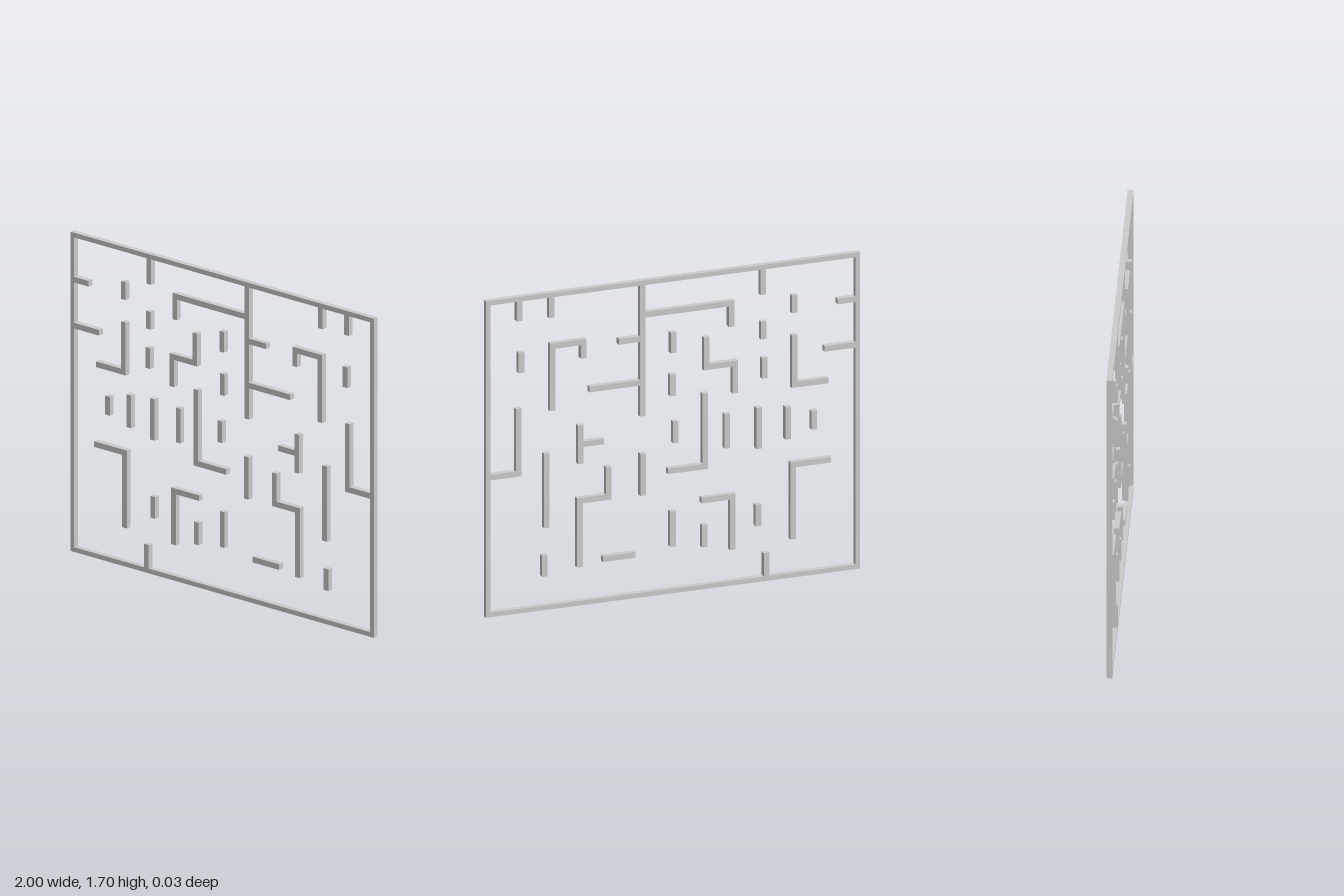
import * as THREE from 'three';

const T = 0.03;      // wall thickness
const DEPTH = 0.03;  // wall depth
const W = 2, H = 1.7, RIM = 0.025;

const material = new THREE.MeshStandardMaterial({ color: 0xcccccc, flatShading: true });

function extrude(shape, name) {
  const geometry = new THREE.ExtrudeGeometry(shape, { depth: DEPTH, bevelEnabled: false });
  geometry.translate(0, 0, -DEPTH / 2);
  const mesh = new THREE.Mesh(geometry, material);
  mesh.name = name;
  return mesh;
}

// A wall that follows a right-angled centre line, with mitred corners
function wall(path, name) {
  const p = path.map(([x, y]) => new THREE.Vector2(x, y));
  const normals = p.slice(1).map((b, i) => {
    const d = b.clone().sub(p[i]).normalize();
    return new THREE.Vector2(-d.y, d.x);
  });
  const offset = (side) => p.map((v, i) => {
    const n = new THREE.Vector2();
    if (i > 0) n.add(normals[i - 1]);
    if (i < normals.length) n.add(normals[i]);
    return v.clone().addScaledVector(n, side * T / 2);
  });
  return extrude(new THREE.Shape([...offset(-1), ...offset(1).reverse()]), name);
}

function rectangle(Type, x0, y0, x1, y1) {
  return new Type([[x0, y0], [x1, y0], [x1, y1], [x0, y1]].map(([x, y]) => new THREE.Vector2(x, y)));
}

// Straight upright pieces: x, bottom, top
const uprights = [
  [-0.755, 0.78, 0.88], [-0.615, 0.745, 0.92], [-0.46, 0.715, 0.935], [-0.29, 0.74, 0.925],
  [-0.015, 0.805, 0.92], [0.16, 0.545, 0.77], [0.675, 0.44, 0.84], [0.685, 0.18, 0.295],
  [-0.65, 1.42, 1.515], [-0.485, 1.3, 1.395], [-0.49, 1.09, 1.2], [-0.003, 1.29, 1.4],
  [0, 1.06, 1.175], [0.81, 1.29, 1.4], [-0.457, 0.3, 0.415], [-0.17, 0.225, 0.345],
  [0, 0.25, 0.44],
];

// Pieces joined to the frame
const TOP = H - RIM, LEFT = -W / 2 + RIM, RIGHT = W / 2 - RIM;
const frameSpurs = [
  [[-0.482, TOP], [-0.482, 1.54]],
  [[0.648, TOP], [0.648, 1.565]],
  [[0.82, TOP], [0.82, 1.57]],
  [[-0.5, RIM], [-0.5, 0.15]],
  [[LEFT, 1.45], [-0.88, 1.45]],
  [[LEFT, 1.205], [-0.81, 1.205]],
  [[RIGHT, 0.75], [0.825, 0.75], [0.825, 1.1]],
];

// Free-standing bent pieces
const bends = [
  [[-0.65, 1.3], [-0.65, 1.033], [-0.83, 1.033]],
  [[-0.18, 1.35], [-0.18, 1.19], [-0.332, 1.19], [-0.332, 1.03]],
  [[0.478, 1.325], [0.478, 1.412], [0.643, 1.412], [0.643, 1.065]],
  [[-0.173, 1.05], [-0.173, 0.658], [0.027, 0.658]],
  [[-0.845, 0.605], [-0.643, 0.605], [-0.643, 0.205]],
  [[0.343, 0.725], [0.343, 0.562], [0.497, 0.562], [0.497, 0.205]],
  [[-0.32, 0.19], [-0.32, 0.477], [-0.153, 0.477]],
];

export function createModel() {
  const model = new THREE.Group();
  model.name = 'mazeWalls';

  // Outer frame
  const rim = rectangle(THREE.Shape, -W / 2, 0, W / 2, H);
  rim.holes.push(rectangle(THREE.Path, LEFT, RIM, RIGHT, TOP));
  model.add(extrude(rim, 'outerFrame'));

  uprights.forEach(([x, y0, y1]) => model.add(wall([[x, y0], [x, y1]], 'shortWall')));
  frameSpurs.forEach((path) => model.add(wall(path, 'frameSpur')));
  bends.forEach((path) => model.add(wall(path, 'bentWall')));
  model.add(wall([[0.2, 0.232], [0.375, 0.232]], 'lowWall'));

  // Tall divider hanging from the top, with its branches
  const divider = new THREE.Group();
  divider.name = 'divider';
  const x = 0.162;
  divider.add(
    wall([[x, TOP], [x, 0.972]], 'dividerWall'),
    wall([[x - T / 2, 1.515], [-0.313, 1.515], [-0.313, 1.39]], 'dividerHook'),
    wall([[x + T / 2, 1.388], [0.29, 1.388]], 'dividerBranch'),
    wall([[x + T / 2, 1.153], [0.447, 1.153]], 'dividerBranch'),
  );
  model.add(divider);

  // T-shaped piece
  const tee = new THREE.Group();
  tee.name = 'teeWall';
  tee.add(
    wall([[0.493, 0.76], [0.493, 0.967]], 'teeUpright'),
    wall([[0.493 - T / 2, 0.864], [0.368, 0.864]], 'teeBranch'),
  );
  model.add(tee);

  return model;
}
